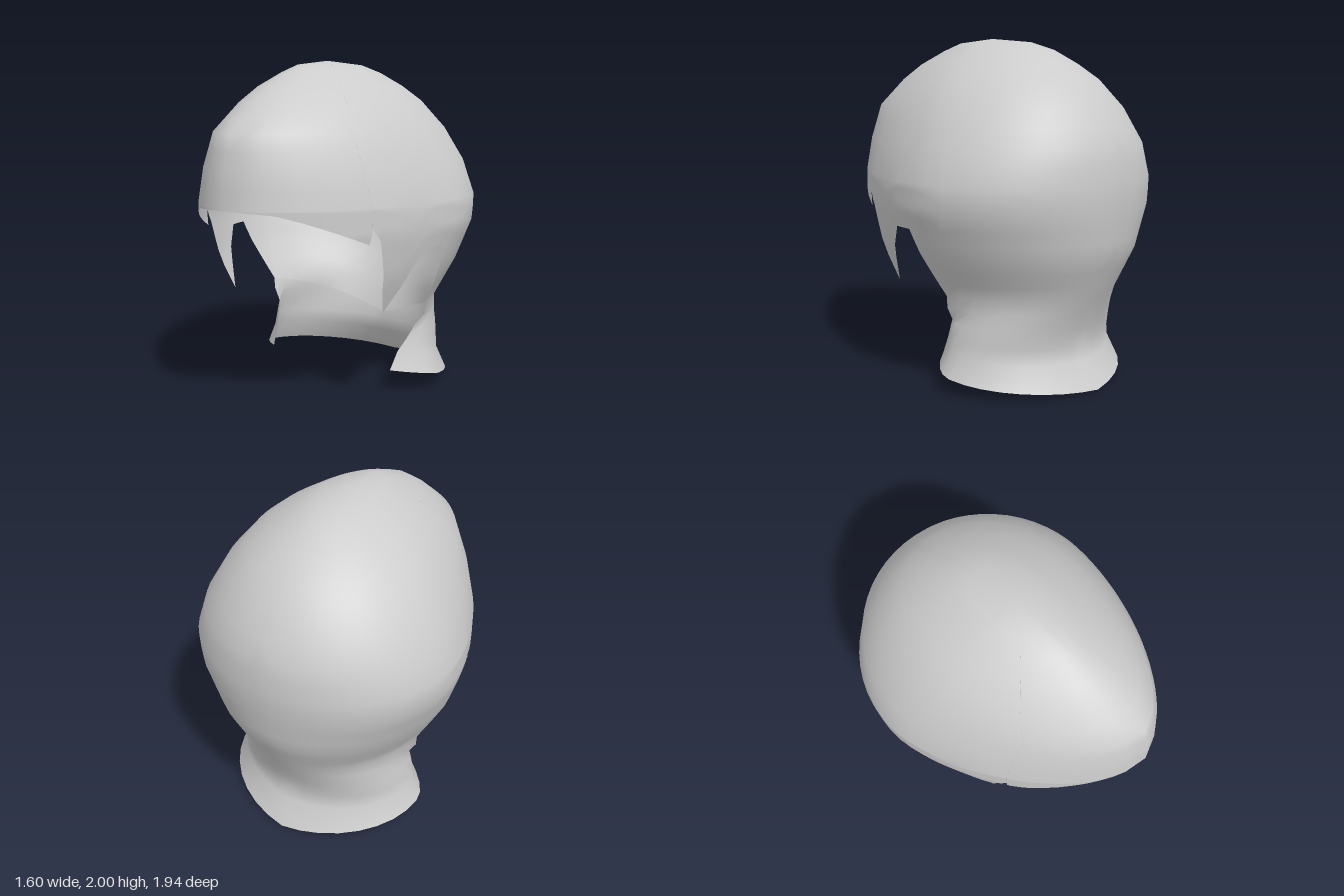
import * as THREE from 'three';
import { mergeVertices } from 'three/addons/utils/BufferGeometryUtils.js';

// Horizontal sections: height, front z, back z, half width, z of the widest point
const SECTIONS = [
  [2, 0, 0, 0, 0], [1.975, 0.25, -0.28, 0.16, -0.02], [1.93, 0.38, -0.43, 0.25, -0.05],
  [1.85, 0.56, -0.57, 0.38, -0.08], [1.76, 0.70, -0.70, 0.49, -0.1], [1.6, 0.9, -0.84, 0.62, -0.15],
  [1.4, 0.95, -0.945, 0.73, -0.2], [1.2, 0.97, -0.97, 0.8, -0.23], [1.05, 0.97, -0.965, 0.8, -0.22],
  [0.8, 0.95, -0.93, 0.72, -0.12], [0.55, 0.9, -0.82, 0.6, -0.05], [0.4, 0, -0.75, 0.57, -0.25],
  [0.2, 0.12, -0.7, 0.6, -0.25], [0.1, 0.15, -0.76, 0.65, -0.25], [0, 0.15, -0.83, 0.66, -0.25],
];
// Lower rim seen from the side (z, y): brow, notch, pointed sideburn, ear gap, nape
const RIM = [
  [0.97, 1.2], [0.85, 1.18], [0.75, 1.14], [0.55, 1.05], [0.44, 1.0], [0.43, 1.09], [0.38, 1.02],
  [0.3, 0.72], [0.24, 0.57], [0.14, 0.8], [0.05, 0.94], [-0.08, 0.94], [-0.13, 0.8], [-0.2, 0.55],
];
// Front edge of the neck flare (z, y)
const NECK_EDGE = [[-0.2, 0.55], [-0.2, 0.48], [-0.18, 0.4], [-0.13, 0.32], [-0.08, 0.25], [-0.02, 0.14]];
const UPPER_ROWS = [2, 1.99, 1.975, 1.93, 1.85, 1.76, 1.68, 1.6, 1.5, 1.4, 1.3, 1.2];
const FRONT_POWER = 1.65; // below 2 gives the pointed, teardrop front
const lerp = THREE.MathUtils.lerp;

function sectionAt(y) {
  let i = 0;
  while (i < SECTIONS.length - 2 && SECTIONS[i + 1][0] > y) i++;
  const a = SECTIONS[i], b = SECTIONS[i + 1];
  const t = THREE.MathUtils.clamp((a[0] - y) / (a[0] - b[0]), 0, 1);
  return a.map((v, k) => lerp(v, b[k], t));
}

// Point on the shell at a height and an angle (0 = front, PI = back)
function shellPoint(phi, y) {
  const [, front, back, width, mid] = sectionAt(y);
  const c = Math.cos(phi), s = Math.max(0, Math.sin(phi));
  if (c < 0) return [width * s, y, mid - (back - mid) * c];
  const e = 2 / FRONT_POWER;
  return [width * s ** e, y, mid + (front - mid) * c ** e];
}

// Angle at which the shell passes through a given z and y
function angleAt(z, y) {
  const [, front, back, , mid] = sectionAt(y);
  if (z >= mid) return Math.acos(Math.min(1, (z - mid) / (front - mid)) ** (FRONT_POWER / 2));
  return Math.acos(-Math.min(1, (z - mid) / (back - mid)));
}

// Joins columns of points into triangles, adding the mirrored half
function addGrid(out, columns) {
  for (let i = 0; i < columns.length - 1; i++) {
    for (let j = 0; j < columns[0].length - 1; j++) {
      const a = columns[i][j], b = columns[i][j + 1];
      const c = columns[i + 1][j], d = columns[i + 1][j + 1];
      for (const tri of [[a, b, c], [c, b, d]]) {
        for (const p of tri) out.push(...p);
        for (const p of [tri[0], tri[2], tri[1]]) out.push(-p[0], p[1], p[2]);
      }
    }
  }
}

function makeMesh(name, points) {
  let geometry = new THREE.BufferGeometry();
  geometry.setAttribute('position', new THREE.Float32BufferAttribute(points, 3));
  geometry = mergeVertices(geometry, 1e-4);
  geometry.computeVertexNormals();
  const material = new THREE.MeshStandardMaterial({ color: 0xcccccc, side: THREE.DoubleSide });
  const mesh = new THREE.Mesh(geometry, material);
  mesh.name = name;
  return mesh;
}

export function createModel() {
  const group = new THREE.Group();
  group.name = 'headShell';
  const shell = [];

  // Angles and rim heights of the columns, from the brow round to the nape
  const stations = [];
  for (let i = 0; i < RIM.length - 1; i++) {
    for (let k = 0; k < 3; k++) {
      const z = lerp(RIM[i][0], RIM[i + 1][0], k / 3);
      const y = lerp(RIM[i][1], RIM[i + 1][1], k / 3);
      stations.push([angleAt(z, y), y]);
    }
  }
  const napeStart = angleAt(-0.2, 0.55);
  const NAPE = 12;
  const napeAngle = (start, k) => lerp(start, Math.PI, k / NAPE);
  for (let k = 0; k <= NAPE; k++) stations.push([napeAngle(napeStart, k), 0.55]);

  // Dome with brow, sideburns and ear gaps
  addGrid(shell, stations.map(([phi, rim]) => {
    const column = UPPER_ROWS.map((y) => shellPoint(phi, y));
    for (let j = 1; j <= 8; j++) column.push(shellPoint(phi, lerp(1.2, rim, j / 8)));
    return column;
  }));

  // Flared neck below the dome
  const neck = [];
  for (let k = 0; k <= NAPE; k++) {
    neck.push(NECK_EDGE.map(([z, y]) => {
      const drop = (0.55 - y) / 0.41;
      const height = lerp(0.55, 0.14 * (1 - k / NAPE), drop);
      return shellPoint(napeAngle(angleAt(z, y), k), height);
    }));
  }
  addGrid(shell, neck);
  group.add(makeMesh('outerShell', shell));

  // Inner lining at the back of the head, ending in a curved lip
  const lining = [], liningColumns = [];
  for (let k = 0; k <= NAPE; k++) {
    const f = k / NAPE, phi = napeAngle(napeStart, k), column = [];
    for (let j = 0; j <= 8; j++) {
      const t = j / 8;
      const [x, y, z] = shellPoint(phi, lerp(1.2, 0.55 - 0.25 * f, t));
      const inset = 1 - 0.02 - 0.06 * t * Math.min(1, 2 * f);
      column.push([x * inset, y, z * inset]);
    }
    liningColumns.push(column);
  }
  addGrid(lining, liningColumns);
  group.add(makeMesh('innerLining', lining));

  return group;
}
